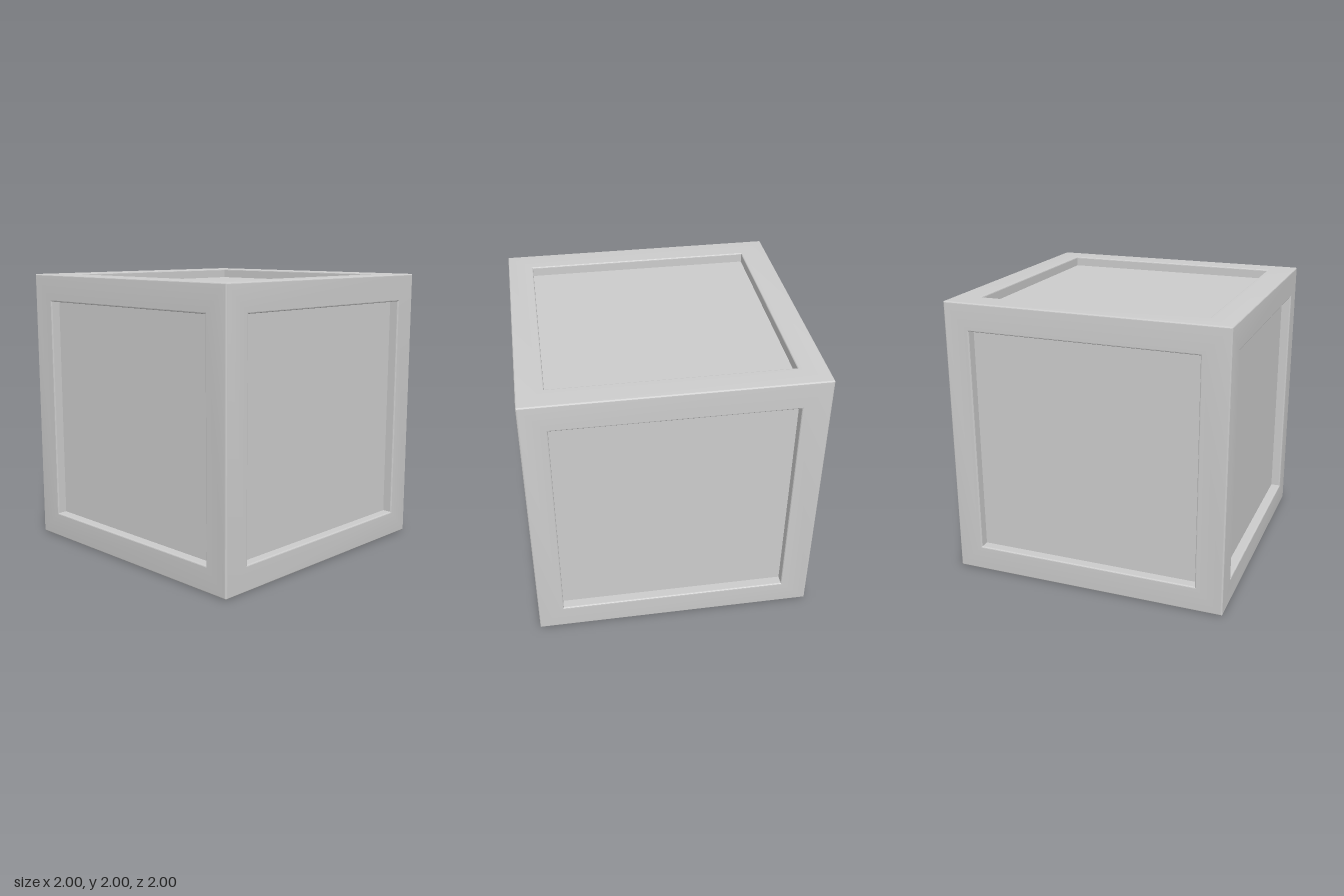
import * as THREE from 'three';
import { toCreasedNormals } from 'three/addons/utils/BufferGeometryUtils.js';

const OUTER_BEVEL = 0.012, INNER_BEVEL = 0.01;
const OPENING = 0.81, FLOOR = 0.93;
// the openings sit very slightly off the cube's centre
const SHIFT = new THREE.Vector3(0.007, -0.007, -0.008);

// square rings from the cube's edge to the recess floor: [half size, height, shift factor]
function frameRings() {
  const rings = [];
  for (const deg of [45, 67.5, 90]) {
    const a = THREE.MathUtils.degToRad(deg), c = 1 - OUTER_BEVEL;
    rings.push([c + OUTER_BEVEL * Math.cos(a), c + OUTER_BEVEL * Math.sin(a), 0]);
  }
  for (const deg of [0, 30, 60, 90]) {
    const a = THREE.MathUtils.degToRad(deg);
    rings.push([OPENING + INNER_BEVEL * (1 - Math.sin(a)), 1 - INNER_BEVEL * (1 - Math.cos(a)), 1]);
  }
  rings.push([OPENING, FLOOR, 1]);
  return rings;
}

// one side of the frame, spanned by u and v and facing n = u x v
function frameSide(u, v) {
  const n = u.clone().cross(v);
  const su = SHIFT.dot(u), sv = SHIFT.dot(v);
  const corners = [[-1, -1], [1, -1], [1, 1], [-1, 1]];
  const positions = [], index = [];
  const rings = frameRings();
  for (const [half, height, shift] of rings) {
    for (const [cu, cv] of corners) {
      const p = n.clone().multiplyScalar(height)
        .addScaledVector(u, cu * half + su * shift)
        .addScaledVector(v, cv * half + sv * shift);
      positions.push(p.x, p.y, p.z);
    }
  }
  for (let r = 0; r < rings.length - 1; r++) {
    for (let i = 0; i < 4; i++) {
      const a = r * 4 + i, b = r * 4 + (i + 1) % 4;
      index.push(a, b, b + 4, a, b + 4, a + 4);
    }
  }
  const geometry = new THREE.BufferGeometry();
  geometry.setAttribute('position', new THREE.Float32BufferAttribute(positions, 3));
  geometry.setIndex(index);
  return toCreasedNormals(geometry, 0.2);
}

export function createModel() {
  const model = new THREE.Group();
  model.name = 'framedCube';
  const material = new THREE.MeshStandardMaterial({ color: 0xcccccc });

  // inner block, seen as the recessed panels
  const size = FLOOR * 2;
  const panels = new THREE.Mesh(new THREE.BoxGeometry(size, size, size), material);
  panels.name = 'recessedPanels';
  panels.position.y = 1;
  model.add(panels);

  // six bevelled frame sides
  const X = new THREE.Vector3(1, 0, 0), Y = new THREE.Vector3(0, 1, 0), Z = new THREE.Vector3(0, 0, 1);
  const sides = {
    front: [X, Y], back: [Y, X],
    left: [Y, Z], right: [Z, Y],
    top: [Z, X], bottom: [X, Z],
  };
  for (const [name, [u, v]] of Object.entries(sides)) {
    const side = new THREE.Mesh(frameSide(u, v), material);
    side.name = name + 'Frame';
    side.position.y = 1;
    model.add(side);
  }
  return model;
}
